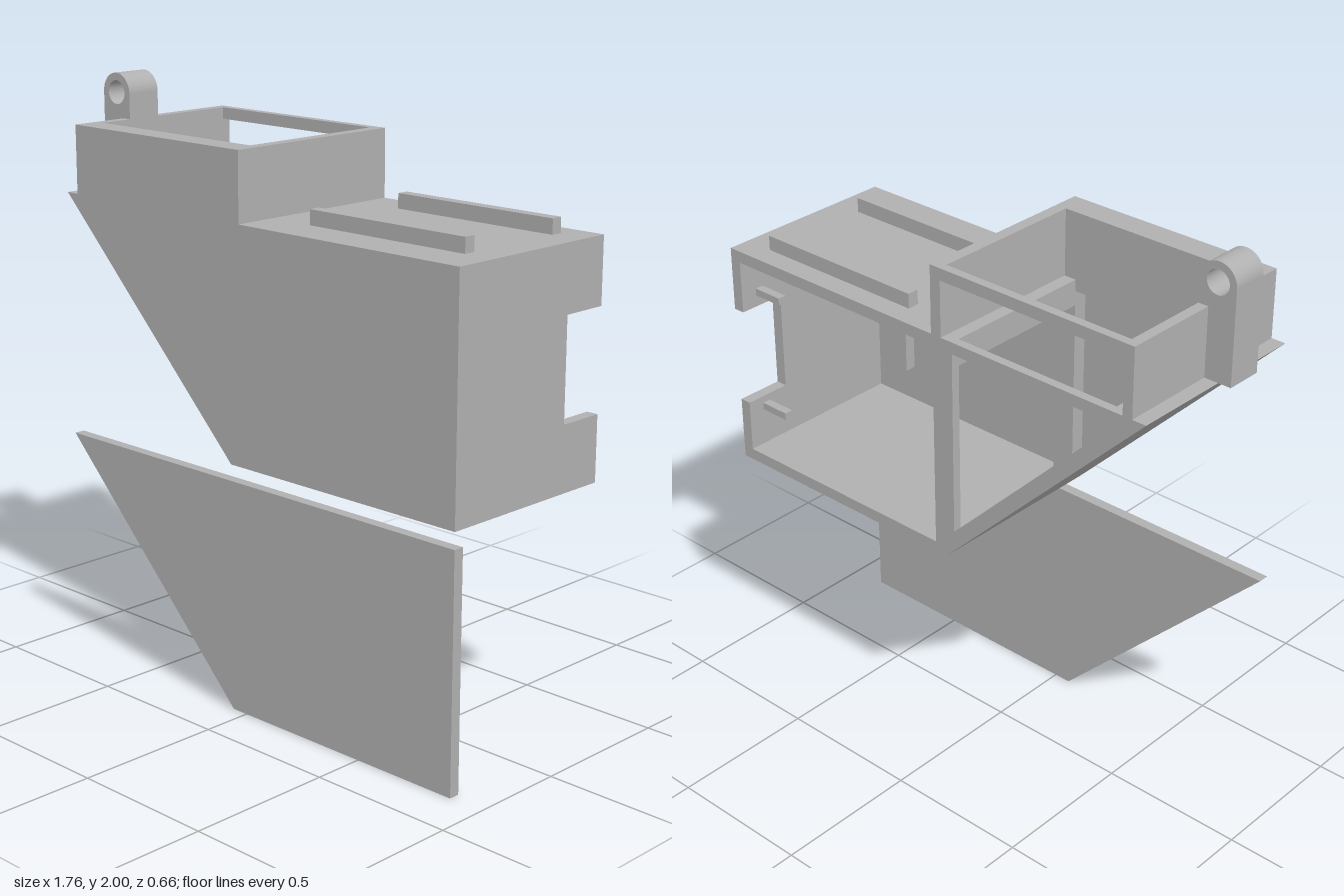
import * as THREE from 'three';

export function createModel() {
  const model = new THREE.Group();
  const grey = new THREE.MeshStandardMaterial({ color: 0xb0b0b0 });
  grey.name = 'plain grey';

  const add = (name, geometry) => {
    const mesh = new THREE.Mesh(geometry, grey);
    mesh.name = name;
    model.add(mesh);
    return mesh;
  };
  // Box given by its limits on each axis
  const box = (name, x0, x1, y0, y1, z0, z1) =>
    add(name, new THREE.BoxGeometry(x1 - x0, y1 - y0, z1 - z0)
      .translate((x0 + x1) / 2, (y0 + y1) / 2, (z0 + z1) / 2));
  const toPoints = (list) => list.map(([x, y]) => new THREE.Vector2(x, y));
  // Flat outline in x and y, extruded from z0 to z1, with optional holes
  const slab = (name, outline, z0, z1, holes = []) => {
    const shape = new THREE.Shape(toPoints(outline));
    for (const h of holes) shape.holes.push(new THREE.Path(toPoints(h)));
    const g = new THREE.ExtrudeGeometry(shape, { depth: z1 - z0, bevelEnabled: false });
    return add(name, g.translate(0, 0, z0));
  };

  const back = -0.33, backIn = -0.30, frontIn = 0.29, front = 0.33, hopperFront = 0.24;
  const hopperTop = [[-0.015, 1.62], [-0.015, 1.85], [-0.79, 1.85], [-0.79, 1.62], [-0.84, 1.62]];

  // Closed front wall
  slab('frontWall', [[-0.06, 0.84], [0.88, 0.84], [0.88, 1.62], ...hopperTop], frontIn, front);

  // Open back frame: the chamber opening runs out through the side notch
  slab('backFrame', [
    [-0.06, 0.84], [0.88, 0.84], [0.88, 1.06], [0.84, 1.06], [0.84, 0.88], [-0.02, 0.88],
    [-0.02, 1.58], [0.84, 1.58], [0.84, 1.40], [0.88, 1.40], [0.88, 1.62], ...hopperTop,
  ], back, backIn, [
    [[-0.10, 0.95], [-0.10, 1.58], [-0.73, 1.58]],
    [[-0.055, 1.62], [-0.055, 1.81], [-0.755, 1.81], [-0.755, 1.62]],
  ]);

  // Floor, sloped wall and roof of the body
  slab('floor', [[-0.06, 0.84], [0.88, 0.84], [0.88, 0.88], [-0.10, 0.88]], backIn, frontIn);
  slab('slopedWall', [[-0.06, 0.84], [-0.03, 0.88], [-0.73, 1.58], [-0.73, 1.62], [-0.84, 1.62]],
    backIn, frontIn);
  box('roof', -0.10, 0.88, 1.58, 1.62, backIn, frontIn);

  // End wall with a notch open to the back
  box('endWall', 0.84, 0.88, 0.88, 1.58, -0.165, frontIn);
  box('endWallLower', 0.84, 0.88, 0.88, 1.06, backIn, -0.165);
  box('endWallUpper', 0.84, 0.88, 1.40, 1.58, backIn, -0.165);
  for (const y of [1.01, 1.44]) box('notchTab', 0.73, 0.84, y, y + 0.025, -0.27, -0.24);
  box('innerPost', 0.67, 0.725, 1.01, 1.58, 0.25, frontIn);

  // Divider frame between the chamber and the hopper
  box('dividerTop', -0.10, -0.02, 1.53, 1.58, backIn, frontIn);
  box('dividerPost', -0.10, -0.02, 0.88, 1.53, hopperFront, frontIn);

  // Hopper walls and inner ledges
  box('hopperLeftWall', -0.79, -0.755, 1.62, 1.85, backIn, frontIn);
  box('hopperRightWall', -0.055, -0.015, 1.62, 1.85, backIn, frontIn);
  box('hopperFrontLining', -0.755, -0.055, 1.58, 1.85, hopperFront, frontIn);
  box('hopperLedge', -0.77, -0.71, 1.58, 1.62, backIn, frontIn);

  // Rails on the roof
  for (const z of [-0.255, 0.145]) box('roofRail', 0.15, 0.775, 1.62, 1.67, z, z + 0.04);

  // Hanging lug with a round eye
  const lug = new THREE.Shape();
  lug.moveTo(-0.885, 1.62);
  lug.lineTo(-0.79, 1.62);
  lug.lineTo(-0.79, 1.85);
  lug.lineTo(-0.755, 1.85);
  lug.lineTo(-0.755, 1.935);
  lug.absarc(-0.82, 1.935, 0.065, 0, Math.PI, false);
  lug.lineTo(-0.885, 1.62);
  const eye = new THREE.Path();
  eye.absarc(-0.82, 1.935, 0.04, 0, Math.PI * 2, true);
  lug.holes.push(eye);
  add('hangingLug', new THREE.ExtrudeGeometry(lug,
    { depth: 0.125, bevelEnabled: false, curveSegments: 24 }));

  // Separate cover plate below the body
  slab('coverPlate', [[-0.06, 0], [0.88, 0], [0.88, 0.785], [-0.84, 0.785]], 0.293, front);

  return model;
}
